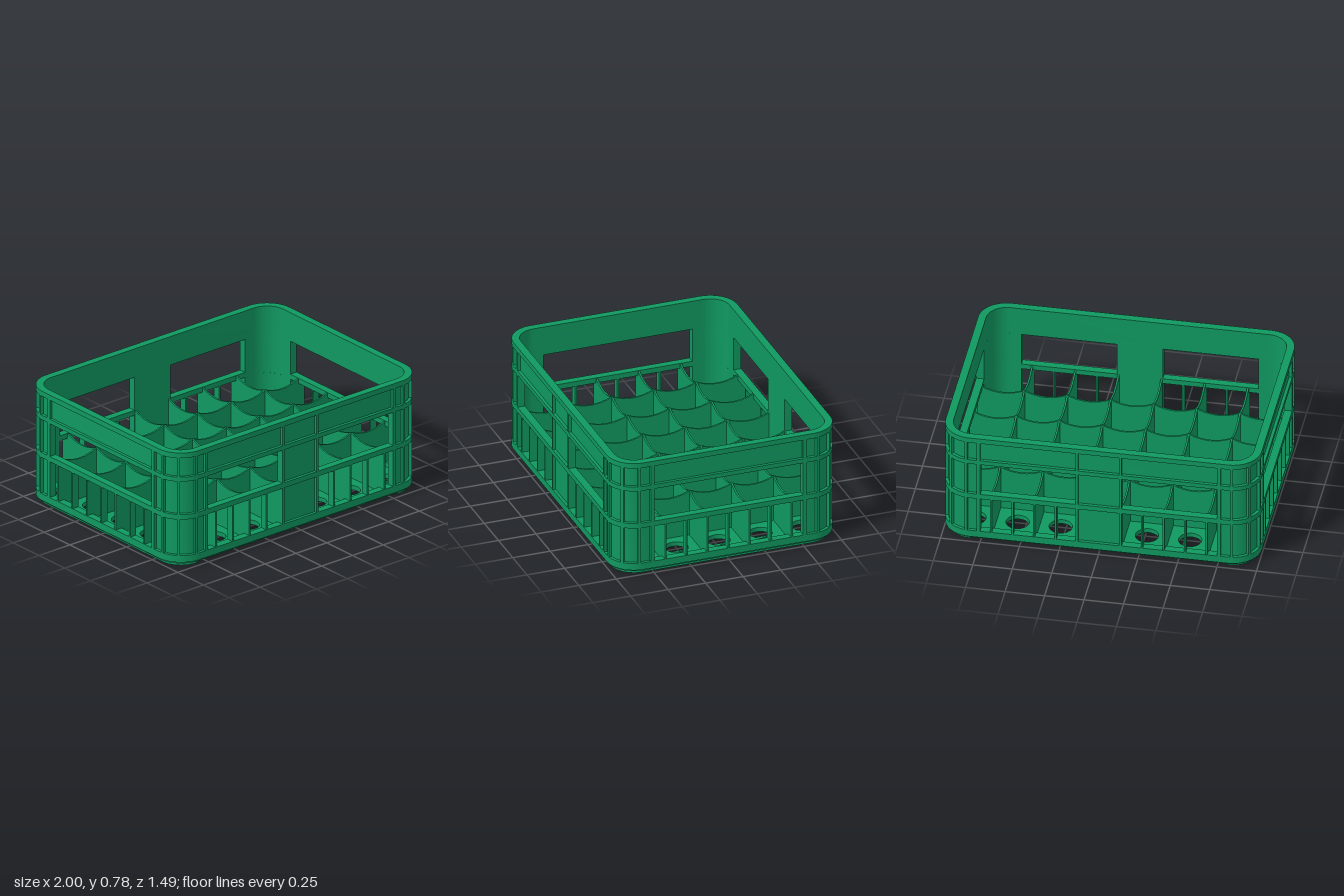
import * as THREE from 'three';
import { toCreasedNormals } from 'three/addons/utils/BufferGeometryUtils.js';

const HX = 1, HZ = 0.745, R = 0.18;          // outer half sizes and corner radius
const WALL = 0.05, RECESS = 0.02;            // wall thickness, depth of recessed panels
const TIERS = [[0.08, 0.325], [0.36, 0.585], [0.615, 0.745]];
const WIN_X = 0.75, WIN_Z = 0.495;           // half extents of the wall openings
const PITCH_X = 0.273, PITCH_Z = 0.28;       // bottle cell spacing

export function createModel() {
  const green = new THREE.MeshStandardMaterial({ color: 0x109860 });
  green.name = 'crateGreen';
  const crate = new THREE.Group();
  crate.name = 'bottleCrate';

  const add = (geometry, name) => {
    const mesh = new THREE.Mesh(geometry, green);
    mesh.name = name;
    crate.add(mesh);
    return mesh;
  };
  const box = (name, x0, x1, y0, y1, z0, z1) =>
    add(new THREE.BoxGeometry(Math.abs(x1 - x0), y1 - y0, Math.abs(z1 - z0)), name)
      .position.set((x0 + x1) / 2, (y0 + y1) / 2, (z0 + z1) / 2);

  // Extrude a plan shape upwards from y0 to y1
  const slab = (name, shape, y0, y1) => {
    const g = new THREE.ExtrudeGeometry(shape, { depth: y1 - y0, bevelEnabled: false, curveSegments: 14 });
    g.rotateX(-Math.PI / 2).translate(0, y0, 0);
    return add(toCreasedNormals(g, 0.5), name);
  };

  // Rounded rectangle outline, moved inwards by the inset
  const outline = (inset, Type = THREE.Shape) => {
    const p = new Type(), cx = HX - R, cz = HZ - R, r = R - inset, q = Math.PI / 2;
    p.absarc(cx, cz, r, 0, q);
    p.absarc(-cx, cz, r, q, 2 * q);
    p.absarc(-cx, -cz, r, 2 * q, 3 * q);
    p.absarc(cx, -cz, r, 3 * q, 4 * q);
    p.closePath();
    return p;
  };
  const ring = (name, inset, y0, y1) => {
    const s = outline(inset);
    s.holes.push(outline(WALL, THREE.Path));
    slab(name, s, y0, y1);
  };

  // Bands round the whole crate
  ring('bottomBand', 0, 0.033, 0.08);
  ring('lowerRail', 0, 0.325, 0.36);
  ring('upperRail', 0, 0.585, 0.615);
  ring('upperPanel', RECESS, 0.615, 0.745);
  ring('topRim', 0, 0.745, 0.78);

  // Plan shape of one recessed corner wall
  const corner = (sx, sz) => {
    const pts = [], cx = HX - R, cz = HZ - R;
    const arc = (r, from, to) => {
      for (let i = 0; i <= 14; i++) {
        const a = from + (to - from) * i / 14;
        pts.push([cx + r * Math.cos(a), cz + r * Math.sin(a)]);
      }
    };
    pts.push([HX - RECESS, WIN_Z]);
    arc(R - RECESS, 0, Math.PI / 2);
    pts.push([WIN_X, HZ - RECESS], [WIN_X, HZ - WALL]);
    arc(R - WALL, Math.PI / 2, 0);
    pts.push([HX - WALL, WIN_Z]);
    return new THREE.Shape(pts.map(([x, z]) => new THREE.Vector2(x * sx, z * sz)));
  };

  for (const [tier, [y0, y1]] of TIERS.entries()) {
    for (const sx of [-1, 1]) for (const sz of [-1, 1]) {
      if (tier < 2) slab('cornerWall', corner(sx, -sz), y0, y1);
      // Straight ribs beside the openings and the centre pillar
      box('edgeRib', sx * WIN_X, sx * (WIN_X + 0.022), y0, y1, sz * (HZ - 0.03), sz * HZ);
      box('edgeRib', sx * (HX - 0.03), sx * HX, y0, y1, sz * WIN_Z, sz * (WIN_Z + 0.025));
      box('pillarRib', sx * 0.13, sx * 0.145, y0, y1, sz * (HZ - 0.03), sz * HZ);
      // Ribs round the corner
      for (const deg of [6.5, 45, 80.4]) {
        const a = THREE.MathUtils.degToRad(deg), r = R - 0.014;
        const rib = add(new THREE.BoxGeometry(0.018, y1 - y0, 0.028), 'cornerRib');
        rib.position.set(sx * (HX - R + r * Math.sin(a)), (y0 + y1) / 2, sz * (HZ - R + r * Math.cos(a)));
        rib.rotation.y = Math.atan2(sx * Math.sin(a), sz * Math.cos(a));
      }
    }
    // Centre pillars of the long walls
    if (tier < 2) for (const sz of [-1, 1])
      box('centrePillar', -0.145, 0.145, y0, y1, sz * (HZ - WALL), sz * (HZ - RECESS));
  }

  // Upright slats in the lower openings
  const [s0, s1] = TIERS[0];
  for (const side of [-1, 1]) {
    for (const sx of [-1, 1]) for (let i = 2; i <= 5; i++) {
      const x = sx * i * PITCH_X / 2;
      box('longSideSlat', x - 0.006, x + 0.006, s0, s1, side * (HZ - WALL), side * (HZ - 0.002));
    }
    for (let i = -3; i <= 3; i++) {
      const z = i * PITCH_Z / 2;
      box('shortSideSlat', side * (HX - WALL), side * (HX - 0.002), s0, s1, z - 0.006, z + 0.006);
    }
  }

  // Floor with one round hole per cell
  const floor = outline(0.014);
  for (let i = -3; i <= 3; i++) for (let j = -2; j <= 2; j++) {
    const hole = new THREE.Path();
    hole.absarc(i * PITCH_X, j * PITCH_Z, 0.073, 0, Math.PI * 2);
    floor.holes.push(hole);
  }
  slab('floor', floor, 0.02, 0.05);

  // Cell divider with a shallow dip over each cell
  const divider = (cells, pitch, half) => {
    const s = new THREE.Shape();
    s.moveTo(-half, 0.045);
    s.lineTo(half, 0.045);
    s.lineTo(half, 0.358);
    for (let i = cells - 1; i >= 0; i--) {
      const end = i === 0 ? -half : (i - cells / 2) * pitch;
      const start = i === cells - 1 ? half : (i + 1 - cells / 2) * pitch;
      s.quadraticCurveTo((start + end) / 2, 0.292, end, 0.358);
    }
    s.closePath();
    const g = new THREE.ExtrudeGeometry(s, { depth: 0.012, bevelEnabled: false, curveSegments: 8 });
    return toCreasedNormals(g.translate(0, 0, -0.006), 0.5);
  };
  const longDivider = divider(7, PITCH_X, HX - WALL + 0.005);
  const crossDivider = divider(5, PITCH_Z, HZ - WALL + 0.005).rotateY(Math.PI / 2);
  for (let j = -1.5; j <= 1.5; j++) add(longDivider, 'longDivider').position.z = j * PITCH_Z;
  for (let i = -2.5; i <= 2.5; i++) add(crossDivider, 'crossDivider').position.x = i * PITCH_X;

  // Foot frames under both ends, with short rungs
  const footPath = (sx, t, Type) => {
    const p = new Type(), r = 0.15 - t, cx = HX - R, cz = HZ - R, inner = 0.815 + t;
    const pts = [[inner, -cz - r]];
    for (let i = 0; i <= 24; i++) {
      const a = -Math.PI / 2 + Math.PI * i / 24;
      const x = Math.max(inner, cx + r * Math.cos(a));
      if (i === 12) pts.push([cx + r, -cz], [cx + r, cz]);
      else pts.push([x, (i < 12 ? -cz : cz) + r * Math.sin(a)]);
    }
    pts.push([inner, cz + r]);
    return p.setFromPoints(pts.map(([x, z]) => new THREE.Vector2(sx * x, z)));
  };
  for (const sx of [-1, 1]) {
    const foot = footPath(sx, 0, THREE.Shape);
    foot.holes.push(footPath(sx, 0.016, THREE.Path));
    slab('footFrame', foot, 0, 0.022);
    for (let j = -2; j <= 2; j++)
      box('footRung', sx * 0.825, sx * 0.96, 0.001, 0.022, j * PITCH_Z - 0.008, j * PITCH_Z + 0.008);
  }
  return crate;
}
